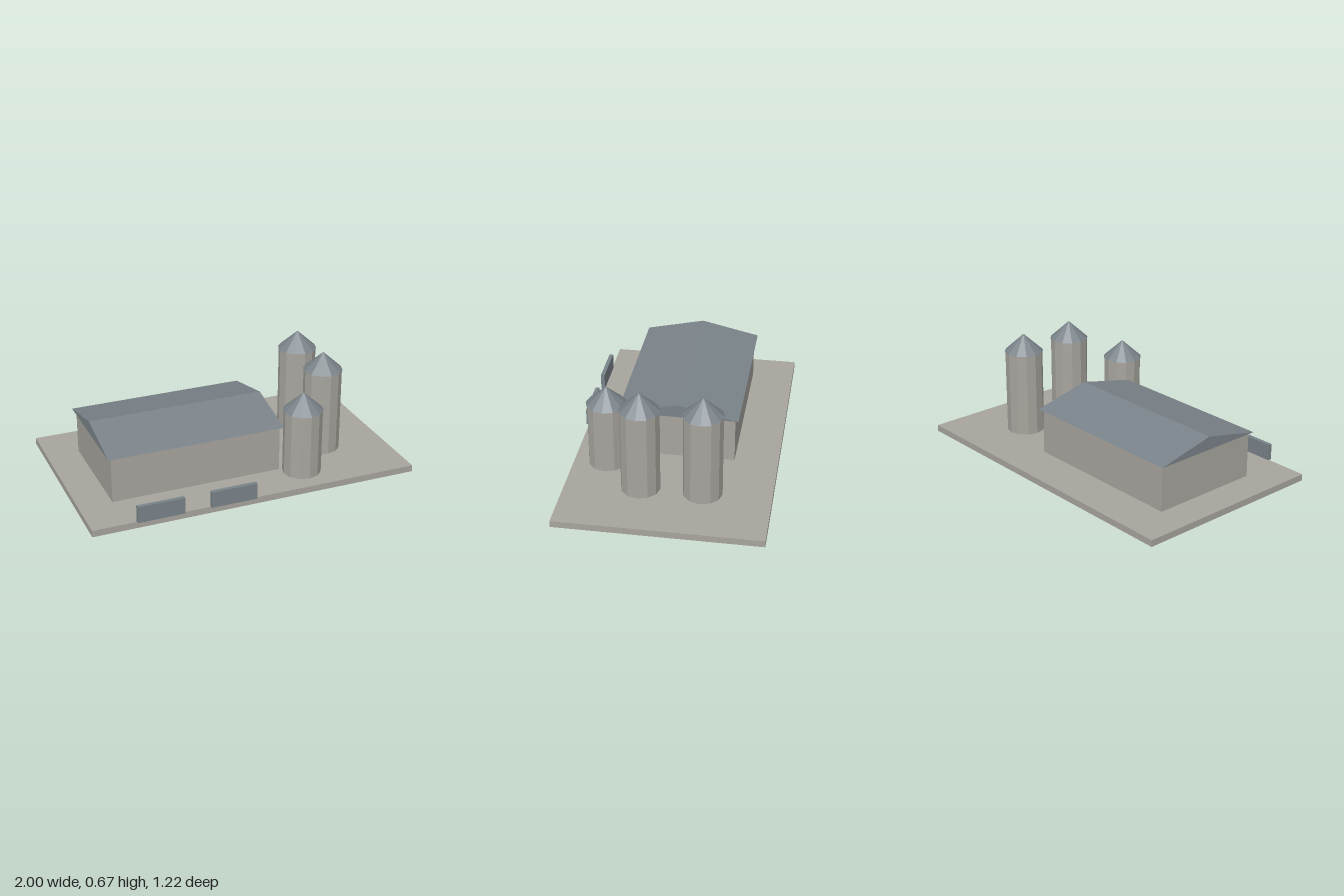
import * as THREE from 'three';

export function createModel() {
  const model = new THREE.Group();
  const make = (name, color) => {
    const m = new THREE.MeshStandardMaterial({ color, flatShading: true });
    m.name = name;
    return m;
  };
  const concrete = make('concrete', 0xa8a59e);
  const slate = make('slate', 0x7a8389);
  const zc = -0.008; // yard centre; the doors stand out past its front edge

  const add = (name, geometry, material, x, y, z, parent = model) => {
    const mesh = new THREE.Mesh(geometry, material);
    mesh.name = name;
    mesh.position.set(x, y, z);
    parent.add(mesh);
    return mesh;
  };

  // Ground slab
  add('groundSlab', new THREE.BoxGeometry(2, 0.04, 1.2), concrete, 0, 0.02, zc);

  // Long shed with a shallow gable roof running along x
  add('shedWalls', new THREE.BoxGeometry(1.04, 0.28, 0.68), concrete, -0.28, 0.18, zc);
  const gable = new THREE.Shape([
    new THREE.Vector2(-0.36, 0),
    new THREE.Vector2(0.36, 0),
    new THREE.Vector2(0, 0.08),
  ]);
  const roof = new THREE.ExtrudeGeometry(gable, { depth: 1.08, bevelEnabled: false });
  roof.rotateY(Math.PI / 2);
  add('shedRoof', roof, slate, -0.82, 0.32, zc);

  // Two loading doors at the front edge
  for (const x of [-0.6, -0.16]) {
    add('loadingDoor', new THREE.BoxGeometry(0.28, 0.1, 0.024), slate, x, 0.09, 0.596);
  }

  // Silos: twelve-sided bodies with conical caps
  const silos = [
    [0.6, -0.2, 0.52],
    [0.6, 0.16, 0.52],
    [0.36, 0.4, 0.4],
  ];
  for (const [x, z, height] of silos) {
    const silo = new THREE.Group();
    silo.name = 'silo';
    silo.position.set(x, 0.04, z + zc);
    add('siloBody', new THREE.CylinderGeometry(0.115, 0.115, height, 12), concrete, 0, height / 2, 0, silo);
    add('siloCap', new THREE.ConeGeometry(0.12, 0.11, 12), slate, 0, height + 0.055, 0, silo);
    model.add(silo);
  }

  return model;
}
